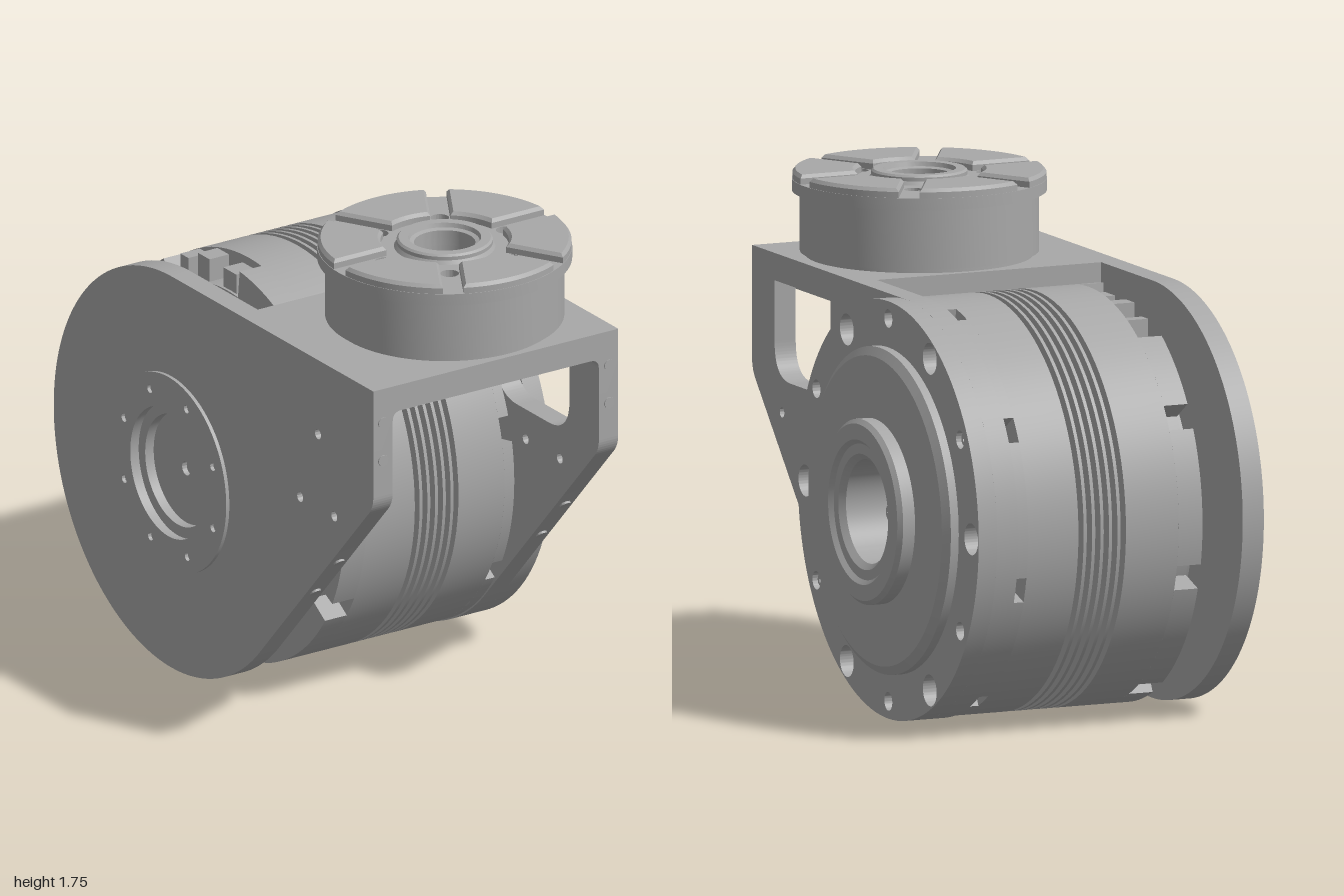
import * as THREE from 'three';
import { toCreasedNormals } from 'three/addons/utils/BufferGeometryUtils.js';

const AXIS_Y = 0.73, AXIS_Z = -0.27, R = 0.725; // main drum axis (along x)
const TX = -0.018, TZ = 0.556;                   // turret axis (along y)
const rad = THREE.MathUtils.degToRad;

export function createModel() {
  const model = new THREE.Group();
  model.name = 'rotaryJoint';
  const metal = new THREE.MeshStandardMaterial({ color: 0xa8a8a8 });
  metal.name = 'machined grey';

  const add = (name, geo, parent = model) => {
    const mesh = new THREE.Mesh(toCreasedNormals(geo, 0.45), metal);
    mesh.name = name;
    parent.add(mesh);
    return mesh;
  };
  const group = (name) => {
    const g = new THREE.Group();
    g.name = name;
    model.add(g);
    return g;
  };
  const circle = (x, y, r, T = THREE.Path) => new T().absarc(x, y, r, 0, Math.PI * 2, false);
  const disc = (r, holes = []) => {
    const s = circle(0, 0, r, THREE.Shape);
    s.holes.push(...holes);
    return s;
  };
  const ringOf = (n, dist, r, start = 0) => Array.from({ length: n }, (_, i) => {
    const a = rad(start) + i * Math.PI * 2 / n;
    return circle(dist * Math.cos(a), dist * Math.sin(a), r);
  });
  const extrude = (shape, depth, seg = 40) =>
    new THREE.ExtrudeGeometry(shape, { depth, bevelEnabled: false, curveSegments: seg });
  // Extrusion along x: shape coordinates are (-z, y)
  const alongX = (shape, x0, x1, seg) => extrude(shape, x1 - x0, seg).rotateY(Math.PI / 2).translate(x0, 0, 0);
  const onDrum = (geo) => geo.translate(0, AXIS_Y, AXIS_Z);
  // Extrusion along y: shape coordinates are (x, -z)
  const alongY = (shape, y0, y1, seg) => extrude(shape, y1 - y0, seg).rotateX(-Math.PI / 2).translate(0, y0, 0);
  const lathe = (pts) => new THREE.LatheGeometry(pts.map(([r, h]) => new THREE.Vector2(r, h)), 96);
  const latheX = (pts) => onDrum(lathe(pts).rotateZ(-Math.PI / 2));
  const sector = (r0, r1, a0, a1, b0 = a0, b1 = a1) => {
    const s = new THREE.Shape();
    s.absarc(0, 0, r1, a0, a1, false);
    s.absarc(0, 0, r0, b1, b0, true);
    s.closePath();
    return s;
  };

  // Bracket side plates: teardrop outline with a flat top
  const cheek = (holes) => {
    const s = new THREE.Shape();
    s.moveTo(-0.97, AXIS_Y + R);
    s.lineTo(-0.97, 1.06);
    s.quadraticCurveTo(-0.97, 1.02, -0.935, 0.985);
    s.absarc(-AXIS_Z, AXIS_Y, R, rad(221.6), rad(450), false);
    s.closePath();
    s.holes.push(circle(-0.73, 0.91, 0.018), circle(-0.52, 0.91, 0.018), ...holes);
    return s;
  };
  const win = new THREE.Path();
  win.moveTo(-0.79, 1.36);
  win.lineTo(-0.79, 1.15);
  win.quadraticCurveTo(-0.79, 1.02, -0.66, 1.02);
  win.lineTo(-0.47, 1.02);
  win.quadraticCurveTo(-0.34, 1.02, -0.34, 1.15);
  win.lineTo(-0.34, 1.36);
  win.closePath();
  add('leftSidePlate', alongX(cheek([win, circle(-AXIS_Z, AXIS_Y, 0.3)]), 0.34, 0.42, 64));
  add('rightSidePlate', alongX(cheek([circle(-0.63, 1.18, 0.018), circle(-AXIS_Z, AXIS_Y, 0.24)]), -0.59, -0.51, 64));

  // Top plate, with the turret's through holes, and its corner fillets
  const turretHoles = () => [circle(0, 0, 0.105), ...ringOf(6, 0.25, 0.032), ...ringOf(2, 0.25, 0.02, 90)];
  const top = new THREE.Shape();
  [[-0.51, -0.414], [0.34, -0.414], [0.34, 0.416], [-0.51, 0.416]].forEach(([x, y], i) =>
    i ? top.lineTo(x - TX, y) : top.moveTo(x - TX, y));
  top.closePath();
  top.holes.push(...turretHoles());
  add('topPlate', alongY(top, 1.36, 1.455).translate(TX, 0, TZ));
  for (const [x, d] of [[-0.51, 1], [0.34, -1]]) {
    const f = new THREE.Shape();
    f.moveTo(x, 1.36);
    f.lineTo(x + d * 0.035, 1.36);
    f.quadraticCurveTo(x, 1.36, x, 1.325);
    f.closePath();
    add('cornerFillet', extrude(f, 0.83, 8).translate(0, 0, 0.14));
  }

  // Screws along the front edges of the side plates
  const plugs = group('edgeScrews');
  for (const x of [-0.55, 0.382]) {
    for (const [y, z, tilt] of [[1.33, 0.97, 0], [1.19, 0.97, 0], [0.72, 0.70, 0.845], [0.56, 0.555, 0.845]]) {
      const p = add('edgeScrew', new THREE.CylinderGeometry(0.02, 0.02, 0.008, 20).rotateX(Math.PI / 2), plugs);
      p.position.set(x, y, z);
      p.rotation.x = tilt;
    }
  }

  // Drum with cooling grooves
  const profile = [[0, -0.39], [0.58, -0.39], [0.58, -0.36], [0.62, -0.36], [0.62, -0.27], [0.72, -0.27]];
  for (let i = 0; i < 6; i++) {
    const x = -0.07 + i * 0.032;
    profile.push([0.72, x], [0.66, x], [0.66, x + 0.02], [0.72, x + 0.02]);
  }
  profile.push([0.72, 0.3], [0.64, 0.3], [0.64, 0.34], [0, 0.34]);
  add('drum', latheX(profile));

  // Castellated end rings: eight notches, plus a connector recess on the right ring
  const rings = group('notchedRings');
  for (let k = 0; k < 8; k++) {
    let a = 33.6 + 45 * k, b = 71.4 + 45 * k;
    add('leftRingSegment', onDrum(alongX(sector(0.62, 0.72, rad(a), rad(b)), 0.3, 0.34, 16)), rings);
    if (k === 0) b = 57;
    if (k === 1) a = 96;
    add('rightRingSegment', onDrum(alongX(sector(0.6, 0.72, rad(a), rad(b)), -0.36, -0.27, 16)), rings);
  }
  for (const [z, y, w] of [[-0.55, 1.33, 0.05], [-0.43, 1.37, 0.07], [-0.27, 1.37, 0.08]]) {
    add('connectorBlock', new THREE.BoxGeometry(0.08, 0.1, w).translate(-0.31, y, z), rings);
  }

  // Output flange with alternating large and small bolt holes
  const flange = disc(R, [circle(0, 0, 0.3), ...ringOf(6, 0.665, 0.055), ...ringOf(6, 0.665, 0.032, 30)]);
  add('outputFlange', onDrum(alongX(flange, 0.42, 0.49, 64)));
  add('outputHub', latheX([
    [0.565, 0.488], [0.565, 0.52], [0.535, 0.54], [0.32, 0.54], [0.32, 0.585], [0.305, 0.6],
    [0.25, 0.6], [0.235, 0.585], [0.2, 0.585], [0.18, 0.565], [0.18, 0.4], [0, 0.4],
  ]));

  // Socket head screws
  const socketScrew = (r) => {
    const hex = new THREE.Path();
    for (let i = 0; i < 6; i++) {
      const x = r * 0.5 * Math.cos(i * Math.PI / 3), y = r * 0.5 * Math.sin(i * Math.PI / 3);
      i ? hex.lineTo(x, y) : hex.moveTo(x, y);
    }
    hex.closePath();
    return disc(r, [hex]);
  };
  const screws = group('screws');
  const screw = (r, dist, deg, x) => {
    const m = add('screw', alongX(socketScrew(r), 0, 0.025, 12), screws);
    m.position.set(x, AXIS_Y + dist * Math.sin(rad(deg)), AXIS_Z - dist * Math.cos(rad(deg)));
  };
  for (let i = 0; i < 6; i++) screw(0.027, 0.135, 15 + i * 60, 0.4);
  for (const a of [-60, 120]) screw(0.032, 0.665, a, 0.42);
  for (const a of [30, 210]) screw(0.022, 0.665, a, 0.45);

  // Bearing cover on the right side plate
  add('bearingCover', onDrum(alongX(disc(0.355, [circle(0, 0, 0.235), ...ringOf(8, 0.295, 0.015, 22)]), -0.603, -0.588, 64)));
  add('bearingStep', onDrum(alongX(disc(0.245, [circle(0, 0, 0.2)]), -0.565, -0.53)));
  add('bearingFloor', onDrum(alongX(disc(0.245, [circle(0, 0, 0.025)]), -0.53, -0.511)));

  // Turret: foot, housing and rim share one set of through holes
  const turret = group('turret');
  turret.position.set(TX, 0, TZ);
  add('turretFoot', alongY(disc(0.39, turretHoles()), 1.455, 1.47, 48), turret);
  add('turretHousing', alongY(disc(0.41, turretHoles()), 1.47, 1.68, 48), turret);
  add('turretRim', alongY(disc(0.437, turretHoles()), 1.68, 1.722, 48), turret);
  add('turretBoss', lathe([
    [0.175, 1.72], [0.165, 1.735], [0.165, 1.748], [0.158, 1.755], [0.125, 1.755],
    [0.12, 1.74], [0.105, 1.735], [0.105, 1.7],
  ]), turret);

  // Six raised pads separated by radial keyways
  const r0 = 0.23, r1 = 0.425, half = 0.045;
  for (let k = 0; k < 6; k++) {
    const a = k * Math.PI / 3, b = a + Math.PI / 3;
    const o = Math.asin(half / r1), i = Math.asin(half / r0);
    const pad = sector(r0, r1, a + o, b - o, a + i, b - i);
    const geo = new THREE.ExtrudeGeometry(pad, {
      depth: 0.021, bevelEnabled: true, bevelThickness: 0.012, bevelSize: 0.01, bevelOffset: 0,
      bevelSegments: 1, curveSegments: 16,
    });
    add('turretPad', geo.rotateX(-Math.PI / 2).translate(0, 1.722, 0), turret);
  }
  return model;
}
